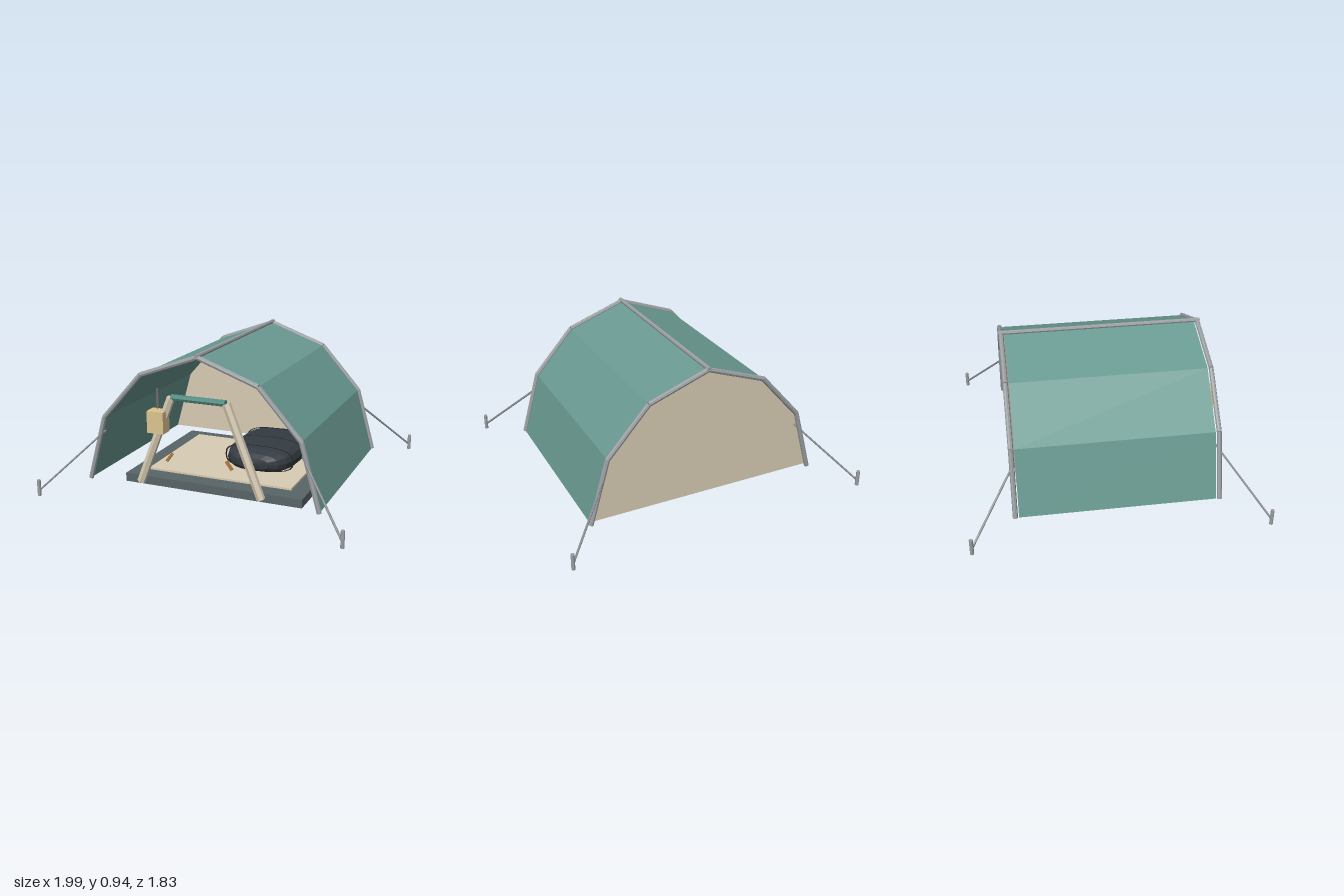
import * as THREE from 'three';

const mat = (color, extra = {}) => new THREE.MeshStandardMaterial({ color, flatShading: true, ...extra });
const M = {
  tarp: mat(0x6a9a92, { side: THREE.DoubleSide }),
  wall: mat(0xd6cab2, { side: THREE.DoubleSide }),
  cream: mat(0xd8ccb4),
  teal: mat(0x4f8a80),
  metal: mat(0x9a9fa2),
  rope: mat(0x8a8d8f),
  base: mat(0x596468),
  bag: mat(0x343b42),
  seam: mat(0x23282d),
  lantern: mat(0xdcc48e),
  hook: mat(0x6c7072),
  toggle: mat(0xb07a3c),
};

// half arch from foot to ridge, then mirrored
const half = [[-0.77, 0.06], [-0.652, 0.48], [-0.385, 0.78], [0, 0.92]];
const arch = [...half, ...half.slice(0, 3).reverse().map(([x, y]) => [-x, y])];

export function createModel() {
  const model = new THREE.Group();

  const add = (name, geo, material, pos = [0, 0, 0], parent = model) => {
    const m = new THREE.Mesh(geo, material);
    m.name = name;
    m.position.set(...pos);
    parent.add(m);
    return m;
  };
  const box = (name, w, h, d, material, pos) => add(name, new THREE.BoxGeometry(w, h, d), material, pos);
  // cylinder between two points
  const rod = (name, a, b, r, material, sides = 8, parent = model) => {
    const A = new THREE.Vector3(...a), B = new THREE.Vector3(...b);
    const dir = B.clone().sub(A);
    const m = add(name, new THREE.CylinderGeometry(r, r, dir.length(), sides), material, [0, 0, 0], parent);
    m.position.copy(A).add(B).multiplyScalar(0.5);
    m.quaternion.setFromUnitVectors(new THREE.Vector3(0, 1, 0), dir.normalize());
    return m;
  };

  // canopy: faceted strip swept along z
  const pos = [], idx = [];
  arch.forEach(([x, y], i) => {
    pos.push(x, y, 0.615, x, y, -0.615);
    if (i) {
      const k = 2 * i - 2;
      idx.push(k, k + 2, k + 1, k + 1, k + 2, k + 3);
    }
  });
  const canopy = new THREE.BufferGeometry();
  canopy.setAttribute('position', new THREE.Float32BufferAttribute(pos, 3));
  canopy.setIndex(idx);
  canopy.computeVertexNormals();
  add('canopy', canopy, M.tarp);

  // closed back wall
  const outline = new THREE.Shape(arch.map(([x, y]) => new THREE.Vector2(x, y)));
  add('backWall', new THREE.ShapeGeometry(outline), M.wall, [0, 0, -0.61]);

  // arched poles at both ends, and the ridge pole
  for (const z of [0.637, -0.637]) {
    const g = new THREE.Group();
    g.name = z > 0 ? 'frontArch' : 'backArch';
    model.add(g);
    for (let i = 1; i < arch.length; i++)
      rod('archPole', [...arch[i - 1], z], [...arch[i], z], 0.016, M.metal, 8, g);
  }
  rod('ridgePole', [0, 0.928, 0.652], [0, 0.928, -0.652], 0.014, M.metal);

  // guy ropes and ground stakes
  for (const sx of [1, -1]) for (const sz of [1, -1]) {
    rod('guyRope', [sx * 0.655, 0.39, sz * 0.62], [sx * 0.985, 0.035, sz * 0.905], 0.007, M.rope, 6);
    rod('stake', [sx * 0.985, 0, sz * 0.905], [sx * 0.985, 0.105, sz * 0.905], 0.012, M.metal);
  }

  // ground platform and floor mat
  box('platform', 1.22, 0.056, 1.0, M.base, [0, 0.028, -0.03]);
  box('floorMat', 1.0, 0.014, 0.78, M.cream, [0, 0.062, -0.04]);

  // doorway: slanted door rolls, top roll and toggles
  for (const s of [1, -1]) {
    rod('doorRoll', [s * 0.405, 0.085, 0.628], [s * 0.182, 0.655, 0.628], 0.027, M.cream, 6);
    const t = box('toggle', 0.016, 0.065, 0.016, M.toggle, [s * 0.2, 0.272, 0.63]);
    t.rotation.z = s * 0.65;
  }
  rod('topRoll', [-0.178, 0.657, 0.628], [0.178, 0.657, 0.628], 0.021, M.teal, 8);

  // hanging lantern
  box('lantern', 0.11, 0.138, 0.085, M.lantern, [-0.265, 0.503, 0.647]);
  rod('lanternHook', [-0.265, 0.583, 0.645], [-0.265, 0.705, 0.645], 0.009, M.hook);

  // sleeping bag: sphere squared off into a soft cushion
  const bag = new THREE.Group();
  bag.name = 'sleepingBag';
  bag.position.set(0.195, 0.155, -0.08);
  model.add(bag);
  const soft = (v, p) => Math.sign(v) * Math.abs(v) ** p;
  const body = new THREE.SphereGeometry(1, 16, 10).rotateX(Math.PI / 2);
  const p = body.attributes.position;
  for (let i = 0; i < p.count; i++)
    p.setXYZ(i, soft(p.getX(i), 0.7) * 0.24, soft(p.getY(i), 0.7) * 0.085, soft(p.getZ(i), 0.6) * 0.33);
  body.computeVertexNormals();
  add('bagBody', body, M.bag, [0, 0, 0], bag);
  for (const z of [-0.2, 0, 0.2]) {
    const seam = new THREE.TorusGeometry(1, 0.03, 6, 24);
    const q = seam.attributes.position;
    for (let i = 0; i < q.count; i++)
      q.setXYZ(i, soft(q.getX(i), 0.7) * 0.236, soft(q.getY(i), 0.7) * 0.084, q.getZ(i) * 0.2);
    seam.computeVertexNormals();
    add('bagSeam', seam, M.seam, [0, 0, z], bag);
  }

  return model;
}
